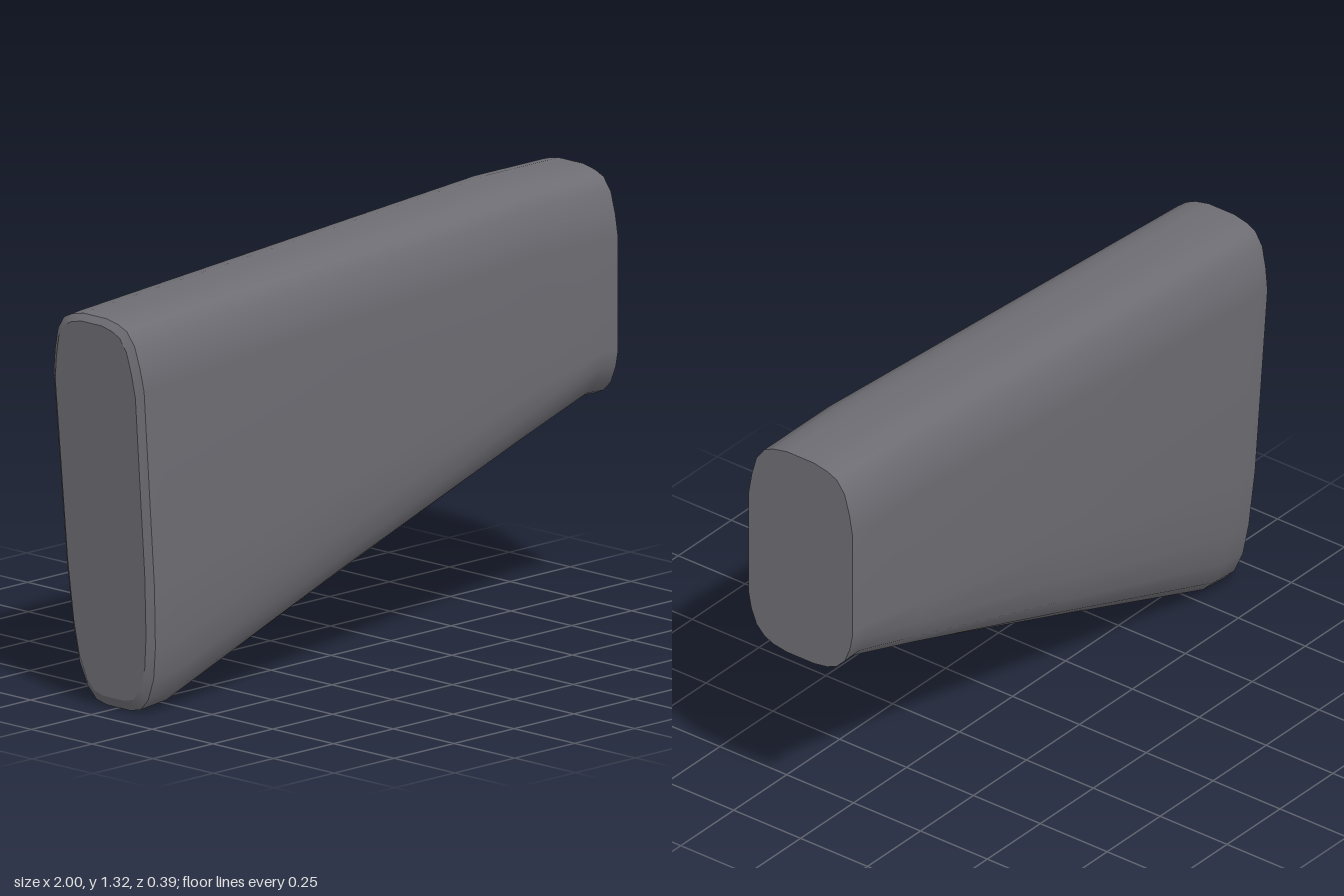
import * as THREE from 'three';

const grey = new THREE.MeshStandardMaterial({ color: 0x6e6d73 });
grey.name = 'stockGrey';

// Corner rounding as [half width, distance from the edge]
const topCorner = [[0.05, 0], [0.1, 0.01], [0.135, 0.025], [0.165, 0.065], [0.183, 0.13], [0.195, 0.2]];
const gripCorner = [[0.195, 0.155], [0.185, 0.103], [0.165, 0.053], [0.135, 0.023], [0.1, 0.008], [0.05, 0]];
const buttCorner = [[0.188, 0.4], [0.176, 0.215], [0.16, 0.115], [0.13, 0.045], [0.095, 0.01], [0.05, 0]];

// Closed cross-section between a top and a bottom point; k goes from butt (0) to grip (1)
function section([tx, ty, bx, by, width, k]) {
  const mix = THREE.MathUtils.lerp;
  const h = ty - by;
  const half = topCorner.map(([z, d]) => [z, ty - d]);
  gripCorner.forEach(([z, d], i) => {
    half.push([mix(buttCorner[i][0], z, k), by + mix(buttCorner[i][1], d, k)]);
  });
  const ring = [...half, ...half.slice().reverse().map(([z, y]) => [-z, y])];
  return ring.map(([z, y]) => new THREE.Vector3(mix(bx, tx, (y - by) / h), y, z * width / 0.195));
}

function makeMesh(name, points, index) {
  const geometry = new THREE.BufferGeometry().setFromPoints(points);
  geometry.setIndex(index);
  geometry.computeVertexNormals();
  const mesh = new THREE.Mesh(geometry, grey);
  mesh.name = name;
  return mesh;
}

// Skin through a row of sections
function loft(name, rings) {
  const n = rings[0].length;
  const index = [];
  for (let i = 0; i < rings.length - 1; i++) {
    for (let j = 0; j < n; j++) {
      const a = i * n + j, c = i * n + (j + 1) % n;
      index.push(a, c, a + n, c, c + n, a + n);
    }
  }
  return makeMesh(name, rings.flat(), index);
}

// Flat end over one section
function cap(name, ring, facesPlusX) {
  const n = ring.length;
  const centre = ring.reduce((sum, p) => sum.add(p), new THREE.Vector3()).divideScalar(n);
  const index = [];
  for (let j = 0; j < n; j++) {
    const k = (j + 1) % n;
    index.push(n, facesPlusX ? j : k, facesPlusX ? k : j);
  }
  return makeMesh(name, [...ring, centre], index);
}

export function createModel() {
  const group = new THREE.Group();
  group.name = 'stock';

  // Sections: top x, top y, bottom x, bottom y, half width, k
  const body = [
    [-0.985, 1.205, -0.885, 0.003, 0.186, 0],
    [-0.95, 1.208, -0.78, 0.015, 0.191, 0.03],
    [-0.15, 1.262, -0.07, 0.275, 0.194, 0.4],
    [0.7, 1.32, 0.65, 0.535, 0.195, 0.85],
    [0.93, 1.32, 0.93, 0.63, 0.195, 1],
    [1, 1.32, 1, 0.627, 0.195, 1],
  ].map(section);
  const buttEnd = section([-1, 1.185, -0.905, 0.035, 0.165, 0]);

  group.add(
    loft('stockBody', body),
    loft('buttBevel', [buttEnd, body[0]]),
    cap('buttFace', buttEnd, false),
    cap('gripFace', body[body.length - 1], true),
  );
  return group;
}
